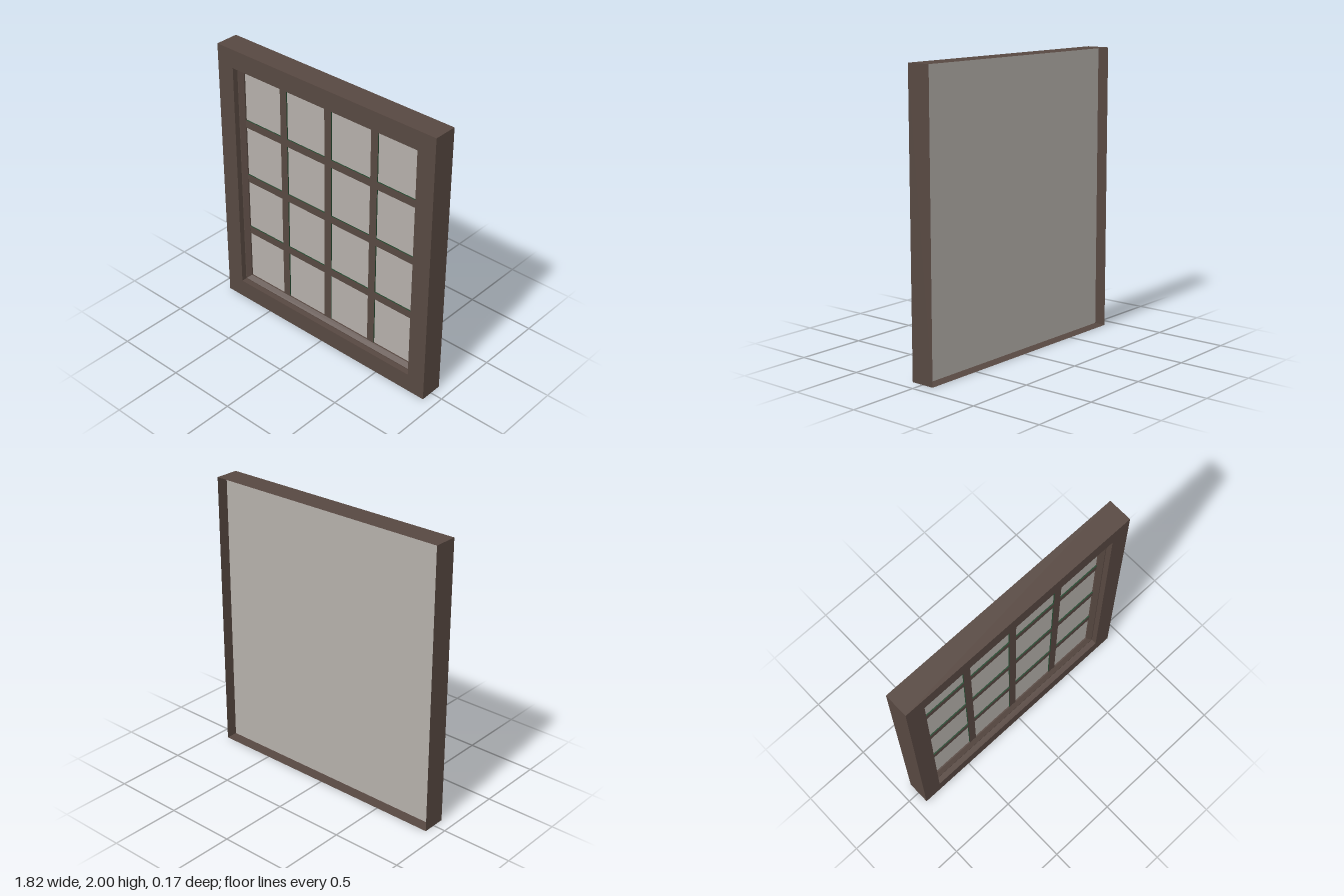
import * as THREE from 'three';

const W = 1.82, H = 2;
const GLASS_FRONT = 0.008, GLASS_BACK = -0.003, BAR_FRONT = 0.017;

function material(name, color, side = THREE.FrontSide) {
  const m = new THREE.MeshStandardMaterial({ color, side });
  m.name = name;
  return m;
}

// Sweeps a profile of [inset, z] points round the window rectangle with mitred corners.
function rectangularSweep(profile) {
  const corners = [[-1, -1], [1, -1], [1, 1], [-1, 1]];
  const point = ([inset, z], [sx, sy]) => [sx * (W / 2 - inset), H / 2 + sy * (H / 2 - inset), z];
  const positions = [];
  for (let k = 0; k < profile.length - 1; k++) {
    for (let i = 0; i < 4; i++) {
      const j = (i + 1) % 4;
      const a = point(profile[k], corners[i]), b = point(profile[k], corners[j]);
      const c = point(profile[k + 1], corners[j]), d = point(profile[k + 1], corners[i]);
      positions.push(...a, ...b, ...c, ...a, ...c, ...d);
    }
  }
  const geometry = new THREE.BufferGeometry();
  geometry.setAttribute('position', new THREE.Float32BufferAttribute(positions, 3));
  geometry.computeVertexNormals();
  return geometry;
}

export function createModel() {
  const wood = material('dark brown wood', 0x574841, THREE.DoubleSide);
  const edge = material('dark green edge', 0x24482f);
  const glass = material('grey glass', 0xb4afaa);
  const model = new THREE.Group();
  model.name = 'window';

  const add = (name, geometry, mat, x, y, z) => {
    const mesh = new THREE.Mesh(geometry, mat);
    mesh.name = name;
    mesh.position.set(x, y, z);
    model.add(mesh);
  };

  // Frame shell, open at the back: outer wall, front face, reveal, ledge, sloped bead and its lip
  const profile = [
    [0, -0.085], [0, 0.085], [0.135, 0.085], [0.135, 0.045],
    [0.141, 0.045], [0.168, BAR_FRONT + 0.001], [0.168, GLASS_FRONT],
  ];
  add('frame', rectangularSweep(profile), wood, 0, 0, 0);

  // Glass pane filling the whole shell
  const pane = new THREE.BoxGeometry(W - 0.002, H - 0.002, GLASS_FRONT - GLASS_BACK);
  add('glass', pane, glass, 0, H / 2, (GLASS_FRONT + GLASS_BACK) / 2);

  // Glazing bars with thin dark green sides, ending under the bead
  const barMaterials = [edge, edge, edge, edge, wood, wood];
  const barWidth = 0.057, barDepth = BAR_FRONT - GLASS_FRONT;
  const z = (BAR_FRONT + GLASS_FRONT) / 2;
  for (const i of [-1, 0, 1]) {
    add('verticalBar', new THREE.BoxGeometry(barWidth, 1.67, barDepth), barMaterials, i * 0.388, 1, z);
    add('horizontalBar', new THREE.BoxGeometry(1.49, barWidth, barDepth), barMaterials, 0, 1 + i * 0.431, z);
  }
  return model;
}
